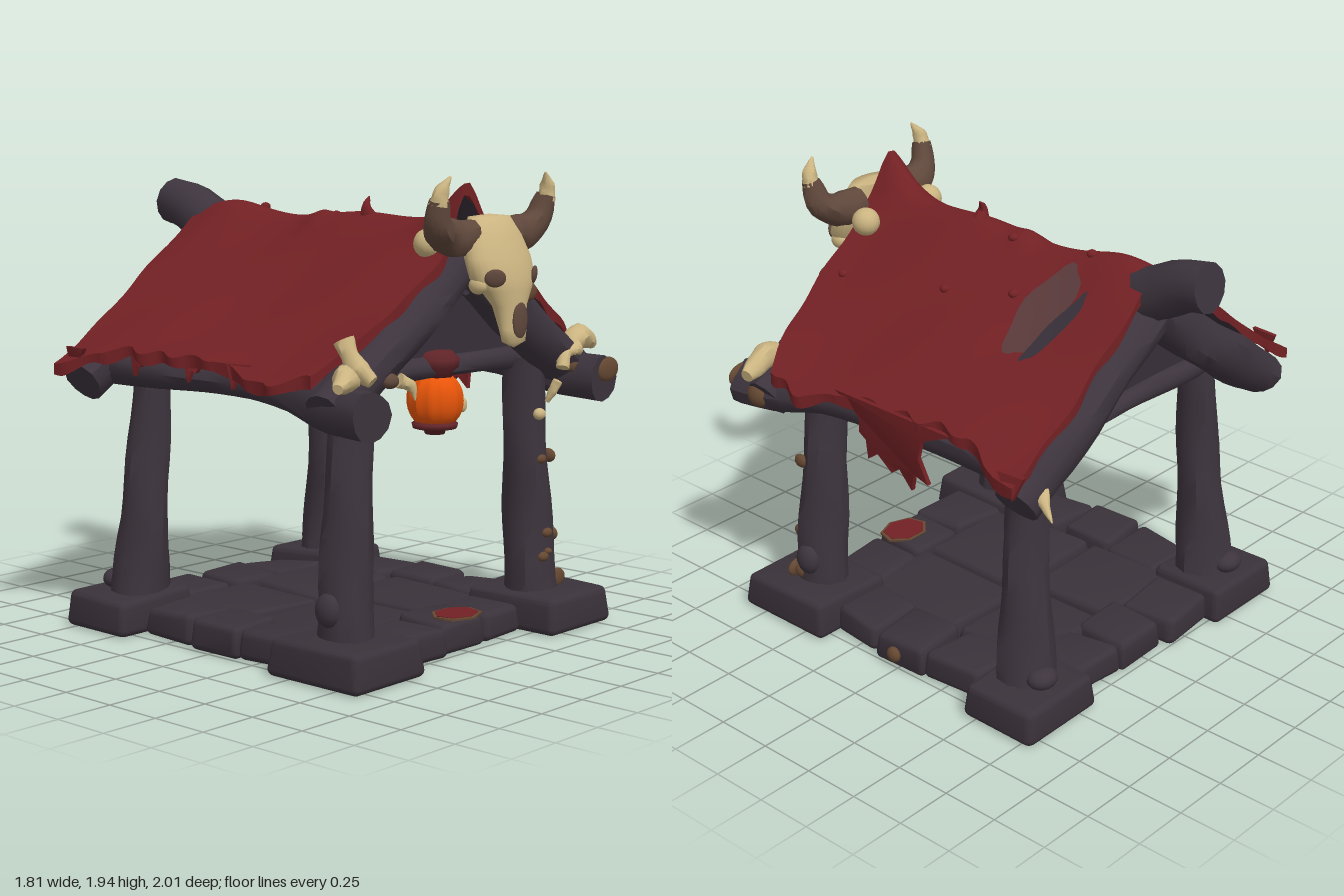
import * as THREE from 'three';
import { toCreasedNormals } from 'three/addons/utils/BufferGeometryUtils.js';
import { RoundedBoxGeometry } from 'three/addons/geometries/RoundedBoxGeometry.js';

const V = (p) => new THREE.Vector3(...p);
const lerp = THREE.MathUtils.lerp;

export function createModel() {
  const root = new THREE.Group();
  const mat = (name, color, side = THREE.FrontSide) => {
    const m = new THREE.MeshStandardMaterial({ color, side });
    m.name = name;
    return m;
  };
  const wood = mat('dark wood', 0x3d343d);
  const boards = mat('roof underside', 0x372f38, THREE.DoubleSide);
  const stone = mat('dark stone', 0x3a323a);
  const cloth = mat('red cloth', 0x732124, THREE.DoubleSide);
  const bone = mat('bone', 0xcbb481);
  const hornBrown = mat('horn brown', 0x5f473b);
  const rust = mat('rust brown', 0x654832);
  const orange = mat('lantern orange', 0xf0580a);
  const maroon = mat('lantern maroon', 0x602428);
  const worn = mat('worn cloth', 0x5a3a3b, THREE.DoubleSide);

  const add = (name, geo, m, crease = 0.7) => {
    const mesh = new THREE.Mesh(crease ? toCreasedNormals(geo, crease) : geo, m);
    mesh.name = name;
    root.add(mesh);
    return mesh;
  };
  const move = (geo, fn) => {
    const p = geo.attributes.position, v = new THREE.Vector3();
    for (let i = 0; i < p.count; i++) {
      fn(v.fromBufferAttribute(p, i), i);
      p.setXYZ(i, v.x, v.y, v.z);
    }
    geo.computeVertexNormals();
    return geo;
  };
  // Grid surface from f(u, v) -> [x, y, z]
  const surface = (name, nu, nv, m, f, crease = 0.9) => add(name,
    move(new THREE.PlaneGeometry(1, 1, nu, nv), (v) => v.set(...f(v.x + 0.5, 0.5 - v.y))), m, crease);
  // Closed, tapering limb along a smooth path
  const limb = (name, pts, radii, m, n = 14, lump = 0.05, sides = 12) => {
    const curve = new THREE.CatmullRomCurve3(pts.map(V));
    const geo = new THREE.TubeGeometry(curve, n, 1, sides);
    move(geo, (v, k) => {
      const i = Math.floor(k / (sides + 1)), a = (k % (sides + 1)) / sides * Math.PI * 2;
      const t = Math.min(1, Math.max(0, (i - 1) / (n - 2)));
      const f = t * (radii.length - 1), j = Math.min(radii.length - 2, Math.floor(f));
      let r = i === 0 || i === n ? 0 : lerp(radii[j], radii[j + 1], f - j);
      r *= 1 + lump * (Math.sin(a * 3 + t * 5 + pts[0][0] * 9) + Math.sin(a * 2 - t * 13 + pts[0][2] * 7));
      v.sub(curve.getPointAt(i / n)).multiplyScalar(r).add(curve.getPointAt(t));
    });
    return add(name, geo, m);
  };
  const blob = (name, p, s, m) => {
    const mesh = add(name, new THREE.SphereGeometry(1, 14, 10), m, 0);
    mesh.position.set(...p);
    mesh.scale.set(...s);
    return mesh;
  };

  // Stone base: corner blocks, edging stones and paving
  const block = (name, x, z, w, d, h) => add(name, move(new RoundedBoxGeometry(w, h, d, 3, 0.03), (v) => {
    v.x += x; v.z += z; v.y += h / 2;
    const n = Math.sin(v.x * 13 + v.z * 9) + Math.sin(v.z * 17 - v.x * 7);
    if (v.y > h / 2) { v.y += n * 0.006; v.x -= (v.x - x) * 0.05; v.z -= (v.z - z) * 0.05; }
    v.x += 0.012 * Math.sin(v.z * 15 + x * 8);
    v.z += 0.012 * Math.sin(v.x * 15 + z * 8);
  }), stone);
  for (const s of [-1, 1]) {
    block('frontCornerStone', s * 0.625, 0.64, 0.42, 0.48, 0.155);
    block('backCornerStone', s * 0.625, -0.63, 0.42, 0.37, 0.155);
    [[-0.28, 0.3], [0.01, 0.27], [0.28, 0.26]].forEach(([c, w], i) => {
      block('edgeStone', c, s * (0.61 - 0.02 * i), w, 0.28, 0.122 + 0.008 * (i % 2));
      block('sideStone', s * (0.58 + 0.03 * (i % 2)), c, 0.28, w, 0.122 + 0.008 * (i % 2));
    });
  }
  [[-0.25, -0.27, 0.46, 0.46], [0.23, -0.28, 0.5, 0.42], [-0.2, 0.22, 0.55, 0.55], [0.27, 0.2, 0.42, 0.58]]
    .forEach(([x, z, w, d], i) => block('pavingSlab', x, z, w, d, 0.105 + 0.006 * (i % 2)));
  [['rustStonePatch', 0.12, 0.13, rust], ['redStonePatch', 0.105, 0.133, cloth]].forEach(([name, r, y, m]) => {
    const patch = add(name, new THREE.CylinderGeometry(r, r, 0.009, 7), m, 0);
    patch.position.set(0.05, y, 0.64);
    patch.scale.z = 0.8;
  });

  // Posts, rafters, side beams and cross beams
  for (const s of [-1, 1]) {
    limb('frontPost', [[s * 0.585, 0.1, 0.61], [s * 0.575, 0.5, 0.6], [s * 0.535, 1.16, 0.59]], [0.12, 0.108, 0.1, 0.09, 0.085], wood);
    limb('backPost', [[s * 0.59, 0.1, -0.59], [s * 0.575, 0.5, -0.56], [s * 0.54, 1.16, -0.54]], [0.13, 0.11, 0.095, 0.085, 0.08], wood);
    limb('sideBeam', [[s * 0.735, 1.06, 0.87], [s * 0.72, 1.07, 0.7], [s * 0.68, 1.11, 0.4], [s * 0.66, 1.11, -0.72]],
      [0.1, 0.1, 0.075, 0.065, 0.065, 0.065, 0.065, 0.07], wood, 20);
    for (const z of [0.69, -0.7]) {
      limb('rafter', [[s * 0.79, 1.055, z], [s * 0.4, 1.31, z], [s * -0.03, 1.62, z * 0.98]], [0.095, 0.105, 0.1, 0.1], wood);
    }
    limb('crossBeam', [[-0.62, 1.15, s * 0.57], [0, 1.155, s * 0.57], [0.62, 1.15, s * 0.57]], [0.05, 0.042, 0.05], wood);
    const gable = new THREE.Shape([[-0.6, 1.15], [0.6, 1.15], [0, 1.62]].map((p) => new THREE.Vector2(...p)));
    add('gablePanel', new THREE.ExtrudeGeometry(gable, { depth: 0.03, bevelEnabled: false }), boards).position.z = s * 0.55 - 0.015;
    blob('postKnot', [s * 0.68, 0.27, 0.6], [0.045, 0.07, 0.06], wood);
    blob('postKnot', [s * 0.62, 0.19, -0.69], [0.07, 0.045, 0.06], wood);
  }
  limb('ridgeBeam', [[0, 1.56, 0.72], [0, 1.59, -0.4], [0, 1.675, -0.72], [0, 1.755, -0.88], [0, 1.775, -0.985]],
    [0.1, 0.1, 0.1, 0.11, 0.115, 0.1], wood, 28, 0.03);

  // Cloth roof with worn, wavy edges
  const bump = (x, c, w) => Math.exp(-(((x - c) / w) ** 2));
  const roofY = (x, z) => {
    const a = Math.sqrt(x * x + 0.002) - 0.02;
    return 1.775 - 0.82 * a + 0.13 * a * a
      + 0.01 * Math.sin(z * 5 + x * 4) + 0.007 * Math.sin(z * 11 - x * 9)
      + 0.19 * bump(x, -0.06, 0.08) * bump(z, 0.8, 0.16) + 0.04 * bump(z, -0.58, 0.18) * bump(x, 0, 0.25)
      + 0.02 * bump(x, 0, 0.1) * bump(z, -0.06, 0.06);
  };
  const edge = (s, z) => (s > 0 ? 0.765 : 0.795) + 0.1 * bump(z, -0.72, 0.18) + 0.075 * bump(z, 0.45, 0.18)
    + 0.012 * Math.sin(z * 31 + s) + 0.012 * Math.abs(Math.sin(z * 19 + s * 2));
  const roofPoint = (u, v, drop, grow) => {
    const s = u < 0.5 ? -1 : 1, k = (u - 0.5) * 2;
    const z0 = lerp(-0.745, 0.765 - 0.13 * k ** 4, v);
    const x = k * edge(s, z0) * grow;
    const z = z0 * grow + 0.008 * Math.sin(x * 21) * Math.abs(2 * v - 1);
    return [x, roofY(x, z) - drop, z];
  };
  const clamp01 = (t) => Math.min(1, Math.max(0, t));
  surface('roofCloth', 50, 64, cloth, (u, v) => {
    const U = clamp01((u * 50 - 1) / 48), W = clamp01((v * 64 - 1) / 62);
    const rim = u < 0.001 || u > 0.999 || v < 0.001 || v > 0.999;
    return roofPoint(U, W, rim ? 0.045 + 0.01 * Math.sin(W * 40 + U * 50) : 0, 1);
  });
  surface('roofUnderside', 24, 24, boards, (u, v) => roofPoint(u, v, 0.035, 0.985));

  // Torn flap, scraps hanging from the eaves, and a curled shred on the ridge
  const rag = (name, pts, x, tilt) => {
    const g = new THREE.ExtrudeGeometry(new THREE.Shape(pts.map((p) => new THREE.Vector2(...p))), { depth: 0.02, bevelEnabled: false });
    g.rotateY(Math.PI / 2);
    move(g, (v) => { v.x += x + (v.y - 1.2) * tilt + 0.008 * Math.sin(v.z * 25); });
    add(name, g, cloth);
  };
  rag('tornFlap', [[-0.27, 1.23], [-0.2, 1.17], [-0.16, 1.13], [-0.17, 1.06], [-0.13, 1.04], [-0.13, 0.95], [-0.06, 1.0], [0, 0.93],
    [0.04, 0.96], [0.1, 0.88], [0.13, 0.97], [0.21, 0.95], [0.17, 1.06], [0.2, 1.15], [0.36, 1.22]], 0.765, 0.12);
  for (const [s, c] of [[1, 0.72], [-1, -0.23], [-1, 0.05], [-1, 0.35], [-1, 0.66]]) {
    rag('eaveScrap', [[c - 0.06, 1.21], [c - 0.02, 1.15], [c, 1.16], [c + 0.02, 1.11], [c + 0.06, 1.21]], s * (edge(s, -c) - 0.03) - 0.01, -s * 0.1);
  }
  limb('ridgeShred', [[0, 1.74, 0.2], [-0.02, 1.79, 0.2], [0.01, 1.83, 0.19]], [0.04, 0.02, 0.004], cloth, 8);
  for (const [x, z] of [[0.05, -0.03], [0.3, 0.12], [0.24, -0.2], [0.36, 0.65], [0.02, -0.42]]) {
    blob('clothKnot', [x, roofY(x, z), z], [0.022, 0.018, 0.022], cloth);
  }
  // Worn patch and slit on the left slope
  const roofPatch = (name, x, z, rx, rz, turn, lift, m) => surface(name, 24, 5, m, (u, v) => {
    const a = u * Math.PI * 2, r = v * (1 + 0.08 * Math.sin(a * 5));
    const p = Math.cos(a) * rx * r, q = Math.sin(a) * rz * r;
    const X = x + p * Math.cos(turn) - q * Math.sin(turn), Z = z + p * Math.sin(turn) + q * Math.cos(turn);
    return [X, roofY(X, Z) + lift, Z];
  });
  roofPatch('wornPatch', 0.26, -0.37, 0.18, 0.1, 0.15, 0.006, worn);
  roofPatch('roofSlit', 0.31, -0.47, 0.15, 0.035, 0.35, 0.012, boards);

  // Horned skull: rings of [y, half width, z centre, half depth]
  const rings = [[1.785, 0, 0.83, 0], [1.775, 0.11, 0.83, 0.06], [1.7, 0.155, 0.85, 0.08], [1.62, 0.178, 0.875, 0.09],
    [1.54, 0.172, 0.9, 0.092], [1.49, 0.13, 0.92, 0.075], [1.43, 0.082, 0.937, 0.058], [1.34, 0.072, 0.955, 0.04],
    [1.29, 0.06, 0.96, 0.035], [1.265, 0, 0.96, 0]];
  surface('skull', 28, 9, bone, (u, v) => {
    const [y, w, z, d] = rings[Math.round(v * 9)], a = u * Math.PI * 2 + Math.PI;
    return [w * Math.sin(a), y, z + d * Math.cos(a)];
  }, 1.2);
  blob('noseHole', [0, 1.375, 0.99], [0.045, 0.075, 0.014], hornBrown);
  for (const s of [-1, 1]) {
    const eye = blob('eyeSocket', [s * 0.122, 1.545, 0.962], [0.045, 0.036, 0.013], hornBrown);
    eye.rotation.set(0.15, s * 0.55, 0);
    blob('cheekBone', [s * 0.145, 1.515, 0.895], [0.028, 0.035, 0.042], bone);
    limb('horn', [[s * 0.11, 1.7, 0.82], [s * 0.22, 1.7, 0.81], [s * 0.31, 1.75, 0.83], [s * 0.337, 1.85, 0.855]], [0.072, 0.072, 0.06, 0.038], hornBrown);
    limb('hornTip', [[s * 0.337, 1.83, 0.852], [s * 0.332, 1.88, 0.862], [s * 0.297, 1.94, 0.88]], [0.039, 0.029, 0.004], bone);
    blob('boneKnob', [s * 0.19, 1.67, 0.68], [0.06, 0.06, 0.06], bone);
  }

  // Bones and claws tied to the beam ends
  limb('leftEndBone', [[0.64, 1.18, 0.76], [0.7, 1.22, 0.74], [0.77, 1.225, 0.72], [0.89, 1.19, 0.69]], [0.03, 0.05, 0.055, 0.045, 0.028], bone);
  limb('leftEndBone', [[0.54, 1.12, 0.8], [0.57, 1.17, 0.79], [0.67, 1.19, 0.77]], [0.03, 0.022, 0.035], bone);
  limb('rightEndBone', [[-0.9, 1.18, 0.85], [-0.8, 1.2, 0.8], [-0.69, 1.2, 0.7]], [0.02, 0.045, 0.055, 0.04], bone);
  limb('rightEndBone', [[-0.72, 1.19, 0.86], [-0.74, 1.25, 0.79], [-0.75, 1.34, 0.74]], [0.025, 0.045, 0.035, 0.04], bone);
  limb('backClaw', [[0.7, 1.13, -0.74], [0.75, 1.08, -0.81], [0.8, 1.05, -0.89]], [0.035, 0.022, 0.003], bone);
  limb('frontClaw', [[-0.5, 1.17, 0.8], [-0.45, 1.14, 0.82], [-0.44, 1.09, 0.83]], [0.03, 0.022, 0.003], bone);
  blob('clawRoot', [-0.54, 1.17, 0.79], [0.04, 0.03, 0.03], hornBrown);
  blob('smallBone', [0.53, 0.915, 0.69], [0.03, 0.025, 0.025], bone);
  limb('smallBone', [[0.56, 1.06, 0.76], [0.55, 1.01, 0.74], [0.54, 0.97, 0.72]], [0.02, 0.02, 0.01], bone);

  // Rust and fungus on the front left post and beam ends
  [[0.58, 0.4, 0.7, 0.03], [0.55, 0.3, 0.705, 0.03], [0.58, 0.32, 0.705, 0.02], [0.66, 0.19, 0.69, 0.06], [0.55, 0.72, 0.685, 0.03],
    [0.33, 1.45, 0.775, 0.055], [0.76, 1.1, 0.87, 0.075], [0.66, 1.12, 0.775, 0.05]]
    .forEach(([x, y, z, r]) => blob('rustPatch', [x, y, z], [r, r * 0.7, 0.02], rust));
  blob('rustPatch', [0.8, 1.065, 0.72], [0.045, 0.055, 0.06], rust);
  for (const [x, y, z] of [[0.65, 0.72, 0.65], [0.66, 0.38, 0.66], [0.68, 0.19, 0.65]]) {
    blob('rustPatch', [x, y, z], [0.02, 0.03, 0.035], rust);
  }
  blob('sideFungus', [0.75, 0.06, 0.02], [0.025, 0.035, 0.035], rust);

  // Hanging ribbed lantern
  const lantern = new THREE.Group();
  lantern.name = 'lantern';
  lantern.position.set(0, 1.02, 0.56);
  root.add(lantern);
  const globe = move(new THREE.SphereGeometry(0.115, 48, 16), (v) => {
    const r = (1 + 0.03 * Math.cos(Math.atan2(v.z, v.x) * 12)) * (1 + 12 * v.y * v.y);
    v.x *= r; v.z *= r;
  });
  const turned = (pts) => new THREE.LatheGeometry(pts.map((p) => new THREE.Vector2(...p)).reverse(), 18);
  const lanternParts = [
    ['globe', globe, orange],
    ['cap', turned([[0, 0.205], [0.07, 0.2], [0.1, 0.17], [0.095, 0.135], [0.07, 0.115], [0.07, 0.095], [0, 0.095]].reverse()).toNonIndexed(), maroon],
    ['foot', turned([[0, -0.08], [0.06, -0.08], [0.095, -0.095], [0.09, -0.115], [0.045, -0.125], [0.04, -0.14], [0, -0.145]]), maroon],
  ];
  lanternParts[1][1] = new THREE.LatheGeometry([[0, 0.095], [0.07, 0.095], [0.07, 0.115], [0.095, 0.135], [0.1, 0.17], [0.07, 0.2], [0, 0.205]]
    .map((p) => new THREE.Vector2(...p)), 18);
  for (const [name, geo, m] of lanternParts) {
    const mesh = new THREE.Mesh(geo, m);
    mesh.name = name;
    lantern.add(mesh);
  }
  lantern.add(blob('lanternSpot', [0.07, -0.02, 0.09], [0.02, 0.03, 0.015], bone));
  return root;
}
